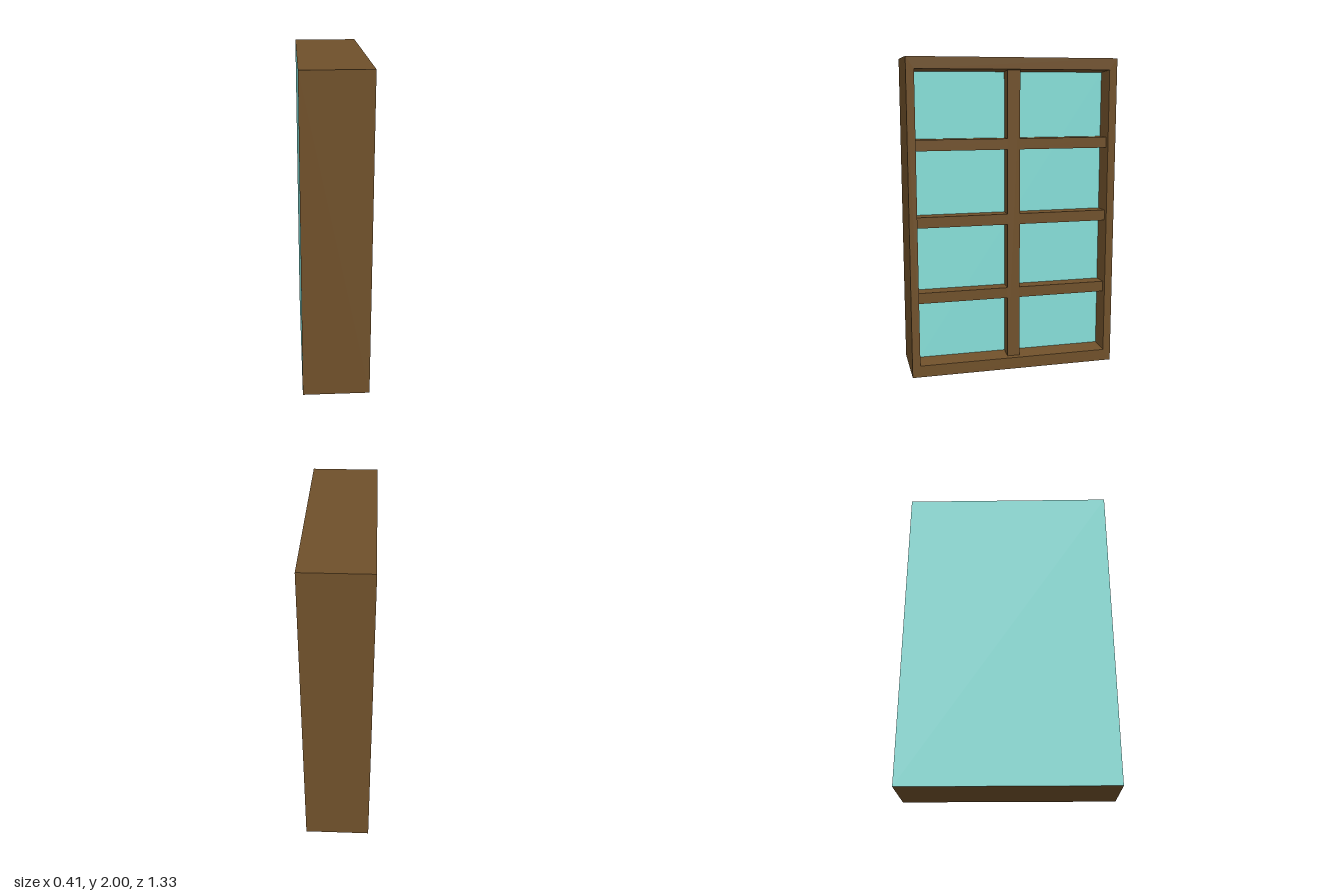
import * as THREE from 'three';

const FRONT = 0.207, BACK = -0.207, GLASS = 0.09, BAR_FRONT = 0.18;

// Rectangle in the yz plane, counter-clockwise as seen from +x
const ring = (x, z, y0, y1) => [[x, y0, z], [x, y0, -z], [x, y1, -z], [x, y1, z]];

// Flat-shaded skin joining successive rectangles
function loft(rings) {
  const pos = [];
  for (let r = 0; r < rings.length - 1; r++) {
    for (let i = 0; i < 4; i++) {
      const j = (i + 1) % 4, a = rings[r], b = rings[r + 1];
      pos.push(...a[i], ...a[j], ...b[j], ...a[i], ...b[j], ...b[i]);
    }
  }
  const geo = new THREE.BufferGeometry();
  geo.setAttribute('position', new THREE.Float32BufferAttribute(pos, 3));
  geo.computeVertexNormals();
  return geo;
}

export function createModel() {
  const group = new THREE.Group();
  group.name = 'windowCabinet';
  const wood = new THREE.MeshStandardMaterial({ color: 0x6f502a });
  const glass = new THREE.MeshStandardMaterial({ color: 0x85ded7 });

  const add = (name, geo, mat, x = 0, y = 0, z = 0) => {
    const mesh = new THREE.Mesh(geo, mat);
    mesh.name = name;
    mesh.position.set(x, y, z);
    group.add(mesh);
    return mesh;
  };

  // Outer casing, front rim and slightly tapered recess
  add('frame', loft([
    ring(BACK, 0.667, 0, 2),
    ring(FRONT, 0.667, 0, 2),
    ring(FRONT, 0.617, 0.075, 1.928),
    ring(GLASS, 0.607, 0.09, 1.915),
  ]), wood);

  // Recessed glass facing +x and full-size back panel facing -x
  add('glassPane', new THREE.PlaneGeometry(1.214, 1.825), glass, GLASS, 1.0025).rotation.y = Math.PI / 2;
  add('backPanel', new THREE.PlaneGeometry(1.334, 2), glass, BACK, 1).rotation.y = -Math.PI / 2;

  // Upright centre bar
  const depth = BAR_FRONT - GLASS, midX = (BAR_FRONT + GLASS) / 2;
  add('centreBar', new THREE.BoxGeometry(depth, 1.845, 0.08), wood, midX, 1.0025, 0);

  // Three crossbars, each split by the centre bar
  for (const y of [0.51, 0.993, 1.47]) {
    for (const side of [-1, 1]) {
      add('crossbar', new THREE.BoxGeometry(depth, 0.068, 0.575), wood, midX, y, side * 0.3275);
    }
  }
  return group;
}
